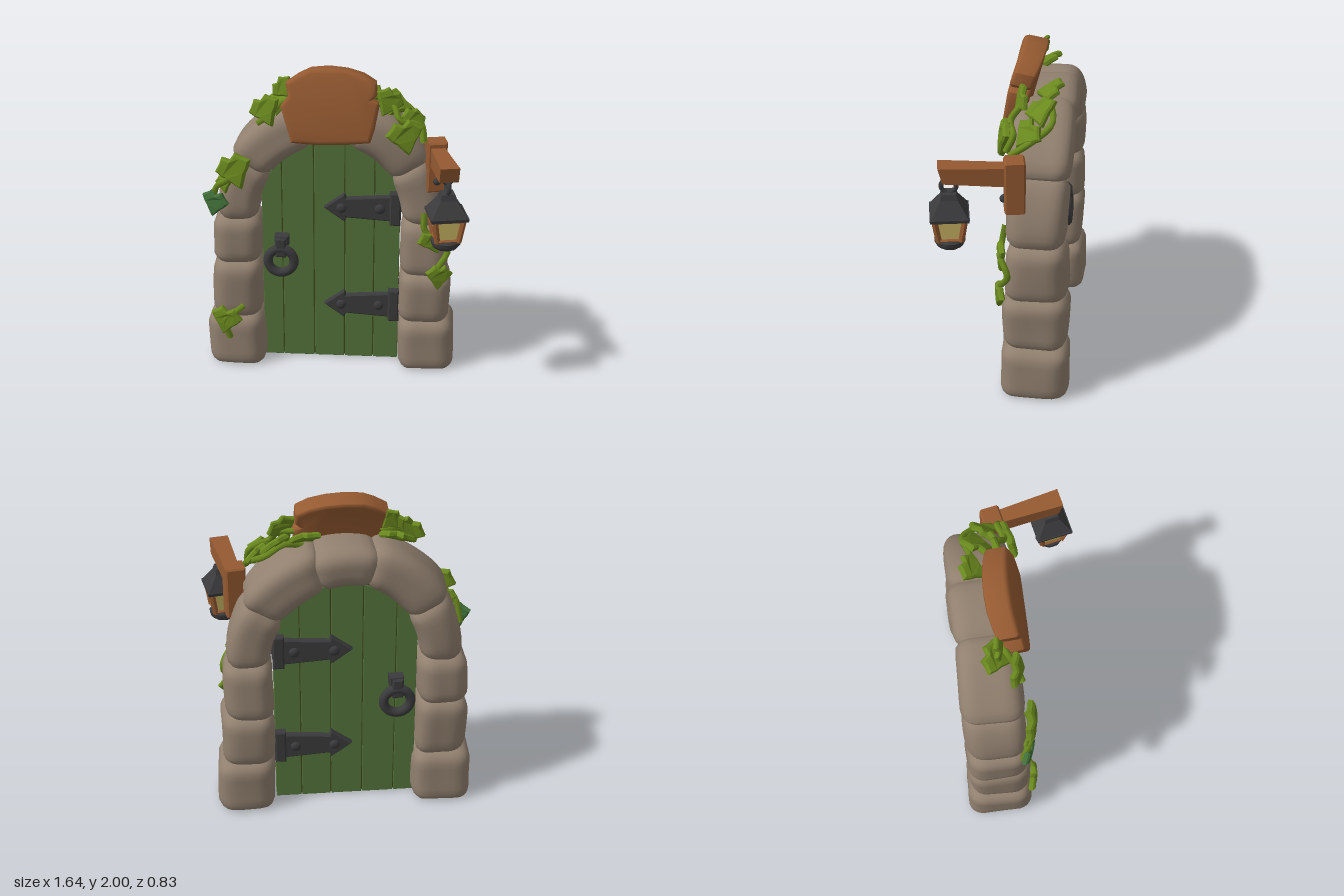
import * as THREE from 'three';
import { mergeVertices, toCreasedNormals } from 'three/addons/utils/BufferGeometryUtils.js';

const flat = (name, color) => Object.assign(new THREE.MeshStandardMaterial({ color }), { name });

export function createModel() {
  const root = new THREE.Group();
  const stoneMat = flat('stone', 0x91806f), doorMat = flat('doorGreen', 0x56753b), grooveMat = flat('groove', 0x3a4514);
  const woodMat = flat('wood', 0x955a31), ironMat = flat('iron', 0x3b3b3d), glassMat = flat('glass', 0xd9c46c);
  const leafMat = flat('leaf', 0x6a891e), darkLeafMat = flat('darkLeaf', 0x417039);

  const add = (parent, name, geo, mat, x = 0, y = 0, z = 0) => {
    const m = new THREE.Mesh(geo, mat);
    m.name = name;
    m.position.set(x, y, z);
    parent.add(m);
    return m;
  };
  // bevelled plate from an outline, centred on z = 0
  const slab = (pts, depth, bevel = 0, segs = 1) => {
    const g = new THREE.ExtrudeGeometry(new THREE.Shape(pts.map(p => new THREE.Vector2(p[0], p[1]))), {
      depth: depth - 2 * bevel, bevelEnabled: bevel > 0, bevelSize: bevel, bevelThickness: bevel,
      bevelOffset: -bevel, bevelSegments: segs });
    return g.translate(0, 0, -depth / 2 + bevel);
  };
  // square frustum given by its half widths
  const frustum = (top, bottom, h) => toCreasedNormals(
    new THREE.CylinderGeometry(top * Math.SQRT2, bottom * Math.SQRT2, h, 4).rotateY(Math.PI / 4), 0.5);
  const bar = (parent, name, a, b, r, mat) => {
    const va = new THREE.Vector3(...a), vb = new THREE.Vector3(...b);
    const m = add(parent, name, toCreasedNormals(new THREE.CylinderGeometry(r, r, va.distanceTo(vb), 4), 0.5), mat);
    m.position.copy(va).add(vb).multiplyScalar(0.5);
    m.quaternion.setFromUnitVectors(new THREE.Vector3(0, 1, 0), vb.sub(va).normalize());
  };

  // ---- stone surround: rounded blocks mapped onto pillars and arch ----
  const round = new THREE.Vector3(0.1, 0.07, 0.1);
  let seed = 0;
  function stone(name, w, h, z0, z1, map) {
    const d = z0 - z1, half = new THREE.Vector3(w / 2, h / 2, d / 2), s = ++seed;
    const inner = half.clone().sub(round), outer = inner.clone().negate();
    let g = new THREE.BoxGeometry(w, h, d, 10, 10, 10);
    g.deleteAttribute('uv');
    g.deleteAttribute('normal');
    g = mergeVertices(g, 1e-5);
    const p = g.attributes.position, v = new THREE.Vector3(), q = new THREE.Vector3();
    for (let i = 0; i < p.count; i++) {
      v.fromBufferAttribute(p, i);
      q.copy(v).clamp(outer, inner);
      v.sub(q).divide(round).normalize().multiply(round).add(q);
      const u = v.y / half.y, pinch = 1 - 0.04 * u * u * u * u;
      const wob = 0.006 * Math.sin(9 * v.y + 7 * v.z + s * 2.3) + 0.005 * Math.sin(13 * v.x + s);
      const [x, y] = map((v.x * pinch + wob) / w, 1.09 * v.y / h);
      p.setXYZ(i, x, Math.max(0.003, y), (z0 + z1) / 2 + v.z * pinch + wob);
    }
    g.computeVertexNormals();
    add(root, name, g, stoneMat);
  }
  const pillar = (name, x0, x1, y0, y1, z0, z1) => stone(name, x1 - x0, y1 - y0, z0, z1,
    (u, v) => [(x0 + x1) / 2 + u * (x1 - x0), (y0 + y1) / 2 + v * (y1 - y0)]);
  const arch = (name, a0, a1, r0, r1, z0, z1) => stone(name, r1 - r0, (a1 - a0) * Math.PI / 180 * 0.6, z0, z1,
    (u, v) => {
      const a = ((a0 + a1) / 2 + v * (a1 - a0)) * Math.PI / 180, r = (r0 + r1) / 2 + u * (r1 - r0);
      return [-0.02 + r * Math.cos(a), 1.06 + r * Math.sin(a)];
    });
  pillar('baseStoneRight', -0.805, -0.445, -0.01, 0.335, 0.005, -0.415);
  pillar('pillarStoneRight', -0.77, -0.45, 0.335, 0.71, -0.01, -0.395);
  pillar('pillarStoneRight', -0.77, -0.455, 0.705, 1.01, -0.03, -0.39);
  pillar('baseStoneLeft', 0.41, 0.77, -0.01, 0.33, 0.005, -0.415);
  pillar('pillarStoneLeft', 0.415, 0.735, 0.325, 0.66, -0.01, -0.395);
  pillar('pillarStoneLeft', 0.415, 0.705, 0.65, 1.005, -0.03, -0.39);
  arch('archStoneLeft', -5, 33, 0.44, 0.7, -0.025, -0.385);
  arch('archStoneLeft', 32, 75, 0.445, 0.735, -0.02, -0.39);
  arch('keystone', 73, 107, 0.45, 0.71, -0.015, -0.395);
  arch('archStoneRight', 105, 148, 0.445, 0.74, -0.02, -0.39);
  arch('archStoneRight', 147, 185, 0.44, 0.7, -0.025, -0.385);

  // ---- door: five planks around a dark core ----
  const doorTop = x => 1.06 + Math.sqrt(Math.max(0, 0.45 ** 2 - (x + 0.02) ** 2));
  const doorOutline = (x0, x1, y0, drop, n) => {
    const pts = [[x0, y0], [x1, y0]];
    for (let i = 0; i <= n; i++) {
      const x = x1 + (x0 - x1) * i / n;
      pts.push([x, doorTop(x) - drop]);
    }
    return pts;
  };
  const doorZ = -0.21;
  add(root, 'doorCore', slab(doorOutline(-0.45, 0.405, 0.01, 0, 24), 0.08), grooveMat, 0, 0, doorZ);
  const seams = [-0.46, -0.33, -0.13, 0.065, 0.25, 0.412];
  for (let i = 0; i < 5; i++)
    add(root, 'doorPlank', slab(doorOutline(seams[i] + 0.003, seams[i + 1] - 0.003, 0.005, 0.004, 8), 0.105, 0.002),
      doorMat, 0, 0, doorZ);

  // ---- iron hinges and ring handle on both faces ----
  for (const side of [1, -1]) {
    const z = o => doorZ + side * (0.055 + o);
    for (const y of [0.405, 1.08]) {
      add(root, 'hingePlate', slab([[0.345, -0.11], [0.415, -0.11], [0.415, 0.11], [0.345, 0.11]], 0.06, 0.01),
        ironMat, 0, y, z(0.015));
      add(root, 'hingeStrap', slab([[-0.065, 0], [0.065, -0.095], [0.075, -0.065], [0.36, -0.085], [0.36, 0.085],
        [0.075, 0.065], [0.065, 0.095]], 0.05, 0.008), ironMat, 0, y, z(0.01));
      for (const x of [0.045, 0.285])
        add(root, 'rivet', new THREE.SphereGeometry(0.032, 12, 8).scale(1, 1, 0.6), ironMat, x, y, z(0.035));
    }
    add(root, 'handleMount', slab([[-0.045, -0.03], [0.045, -0.03], [0.045, 0.035], [-0.045, 0.035]], 0.07, 0.01),
      ironMat, -0.33, 0.85, z(0.02));
    add(root, 'handleTongue', slab([[-0.034, -0.07], [0.034, -0.07], [0.034, 0.06], [-0.034, 0.06]], 0.06, 0.01),
      ironMat, -0.337, 0.81, z(0.04));
    add(root, 'handleRing', new THREE.TorusGeometry(0.083, 0.03, 10, 24), ironMat, -0.337, 0.71, z(0.045));
  }

  // ---- blank wooden sign leaning back over the arch, flaring at its top ----
  const signPts = [[-0.25, -0.22], [-0.1, -0.23], [0.08, -0.225], [0.225, -0.21], [0.25, -0.13], [0.27, -0.02],
    [0.27, 0.03], [0.235, 0.05], [0.26, 0.075], [0.255, 0.15], [0.18, 0.195], [0.08, 0.222], [-0.03, 0.232],
    [-0.14, 0.222], [-0.21, 0.19], [-0.285, 0.14], [-0.27, 0.06], [-0.315, 0], [-0.275, -0.13]];
  const signGeo = slab(signPts, 0.13, 0.025, 3);
  const sp = signGeo.attributes.position;
  for (let i = 0; i < sp.count; i++) {
    const up = Math.max(0, sp.getY(i)), z = sp.getZ(i);
    sp.setZ(i, z - (z < 0 ? 0.9 : 0.5) * up * up);
  }
  signGeo.computeVertexNormals();
  add(root, 'signBoard', toCreasedNormals(signGeo, 0.7), woodMat, 0, 1.772, -0.055).rotation.x = -0.17;

  // ---- lamp bracket and lantern ----
  const lamp = new THREE.Group();
  lamp.name = 'lampBracket';
  lamp.position.set(0.62, 0, -0.08);
  lamp.rotation.y = 0.19;
  root.add(lamp);
  add(lamp, 'bracketPost', slab([[-0.06, -0.16], [0.06, -0.16], [0.06, 0.16], [-0.06, 0.16]], 0.12, 0.01),
    woodMat, 0, 1.405, 0);
  const armGeo = new THREE.BoxGeometry(1, 1, 1), ap = armGeo.attributes.position;
  for (let i = 0; i < ap.count; i++) {
    const end = ap.getZ(i) > 0, up = ap.getY(i) > 0;
    ap.setXYZ(i, ap.getX(i) * (end ? 0.115 : 0.08), end ? (up ? 1.55 : 1.455) : (up ? 1.53 : 1.41),
      end ? (up ? 0.43 : 0.405) : 0);
  }
  armGeo.computeVertexNormals();
  add(lamp, 'bracketArm', armGeo, woodMat);
  add(lamp, 'bracketBolt', new THREE.SphereGeometry(0.025, 10, 8), ironMat, 0, 1.32, 0.06);

  const lantern = new THREE.Group();
  lantern.name = 'lantern';
  lantern.position.z = 0.37;
  lamp.add(lantern);
  add(lantern, 'hookRing', new THREE.TorusGeometry(0.03, 0.011, 8, 16), ironMat, 0, 1.465, 0);
  add(lantern, 'hangingRing', new THREE.TorusGeometry(0.043, 0.014, 8, 18).rotateY(Math.PI / 2), ironMat, 0, 1.415, 0);
  add(lantern, 'roofCap', frustum(0.04, 0.05, 0.035), ironMat, 0, 1.36, 0);
  add(lantern, 'roof', frustum(0.046, 0.108, 0.1), ironMat, 0, 1.298, 0);
  add(lantern, 'roofEave', frustum(0.113, 0.11, 0.02), ironMat, 0, 1.24, 0);
  add(lantern, 'lanternGlass', frustum(0.086, 0.064, 0.15), glassMat, 0, 1.16, 0);
  const corners = [[1, 1], [1, -1], [-1, -1], [-1, 1]];
  corners.forEach(([a, b], i) => {
    const [c, d] = corners[(i + 1) % 4];
    bar(lantern, 'lanternPost', [a * 0.086, 1.235, b * 0.086], [a * 0.064, 1.085, b * 0.064], 0.018, woodMat);
    bar(lantern, 'topRail', [a * 0.085, 1.228, b * 0.085], [c * 0.085, 1.228, d * 0.085], 0.012, woodMat);
    bar(lantern, 'bottomRail', [a * 0.066, 1.093, b * 0.066], [c * 0.066, 1.093, d * 0.066], 0.011, woodMat);
  });
  add(lantern, 'lanternBase', toCreasedNormals(new THREE.LatheGeometry([[0, 0], [0.07, 0], [0.088, 0.02], [0.09, 0.045],
    [0.075, 0.06], [0, 0.06]].map(p => new THREE.Vector2(...p)), 10), 0.7), ironMat, 0, 1.03, 0);

  // ---- ivy: lobed, slightly folded leaves and stems ----
  const halfLeaf = [[0.2, 0.42], [0.32, 0.28], [0.52, 0.12], [0.38, -0.08], [0.27, -0.18], [0.12, -0.4]];
  const leafPts = [[0, 0.3], ...halfLeaf, [0, -0.55], ...halfLeaf.map(([x, y]) => [-x, y]).reverse()].reverse();
  const leafGeo = slab(leafPts, 0.2, 0.05);
  const lp = leafGeo.attributes.position;
  for (let i = 0; i < lp.count; i++)
    lp.setZ(i, lp.getZ(i) + 0.08 - 0.16 * Math.abs(lp.getX(i)) - 0.25 * lp.getY(i) ** 2);
  leafGeo.computeVertexNormals();
  // x, y, z, size, turn, tilt, spin
  [[-0.41, 1.74, -0.06, 0.2, -0.3, -0.2, 0.5], [-0.31, 1.85, -0.15, 0.15, -0.2, -0.2, 0.9],
    [-0.33, 1.75, -0.17, 0.2, -0.4, -1, 0.2], [0.33, 1.8, -0.09, 0.18, 0.3, -0.2, -0.5],
    [0.43, 1.615, 0.0, 0.22, 0.2, -0.15, 0.2], [0.2, 1.8, -0.24, 0.19, 0.2, -1, -0.6],
    [0.37, 1.75, -0.2, 0.2, 0.8, -0.8, 0.8], [0.48, 1.66, -0.14, 0.19, 0.9, -0.6, -0.3],
    [-0.6, 1.37, 0.0, 0.23, -0.2, -0.1, 0.4], [-0.67, 1.27, -0.02, 0.12, -0.5, 0, 0.2],
    [-0.68, 0.345, 0.01, 0.2, -0.2, 0, -0.2], [0.615, 0.935, -0.005, 0.18, 0.2, 0, 0.4],
    [0.66, 0.69, 0.0, 0.17, 0.3, 0, -0.1], [-0.73, 1.14, -0.03, 0.18, -0.4, 0, -0.2, darkLeafMat]
  ].forEach(([x, y, z, s, turn, tilt, spin, mat = leafMat]) => {
    const m = add(root, 'ivyLeaf', leafGeo, mat, x, y, z);
    m.scale.setScalar(s);
    m.rotation.set(tilt, turn, spin, 'YXZ');
  });
  [[[-0.57, 0.43, -0.01], [-0.62, 0.4, 0.02], [-0.69, 0.34, 0.02], [-0.66, 0.21, 0.01]],
    [[-0.55, 1.42, -0.02], [-0.64, 1.31, 0.01], [-0.72, 1.24, -0.03], [-0.75, 1.1, -0.06]],
    [[0.56, 1.11, -0.02], [0.57, 0.99, 0.0], [0.66, 0.95, 0], [0.715, 0.85, -0.05], [0.65, 0.74, 0]],
    [[0.24, 1.78, -0.1], [0.36, 1.77, -0.08], [0.4, 1.7, -0.03], [0.52, 1.66, -0.06], [0.54, 1.57, -0.02]],
    [[0.2, 1.73, -0.2], [0.33, 1.77, -0.25], [0.44, 1.71, -0.27], [0.53, 1.63, -0.16], [0.55, 1.55, -0.04]],
    [[-0.23, 1.78, -0.15], [-0.32, 1.77, -0.1], [-0.38, 1.71, -0.06], [-0.46, 1.66, -0.03]]
  ].forEach(pts => add(root, 'ivyStem', new THREE.TubeGeometry(
    new THREE.CatmullRomCurve3(pts.map(p => new THREE.Vector3(...p))), 16, 0.02, 6), leafMat));

  return root;
}
